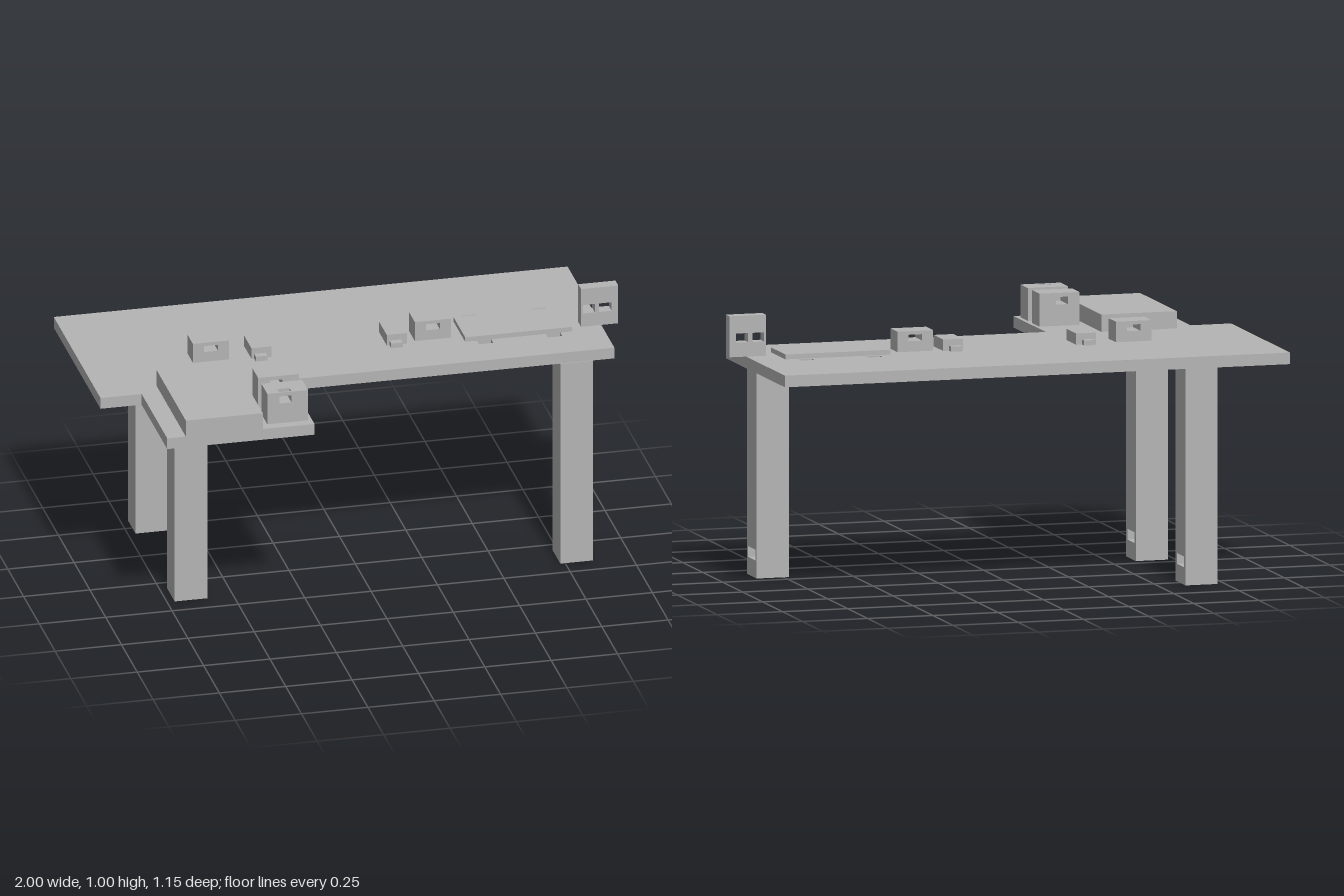
import * as THREE from 'three';

const grey = new THREE.MeshStandardMaterial({ color: 0xb4b4b4 });
grey.name = 'plainGrey';

const rect = (x0, x1, y0, y1) => [[x0, y0], [x1, y0], [x1, y1], [x0, y1]];
const points = (list) => list.map(([x, y]) => new THREE.Vector2(x, y));

function outline(list, holes = []) {
  const shape = new THREE.Shape(points(list));
  for (const h of holes) shape.holes.push(h.isPath ? h : new THREE.Path(points(h)));
  return shape;
}

function part(name, geometry) {
  const mesh = new THREE.Mesh(geometry, grey);
  mesh.name = name;
  return mesh;
}

function box(name, x0, x1, y0, y1, z0, z1) {
  const geometry = new THREE.BoxGeometry(x1 - x0, y1 - y0, z1 - z0);
  return part(name, geometry.translate((x0 + x1) / 2, (y0 + y1) / 2, (z0 + z1) / 2));
}

// Plan outline in (x, -z), raised from y0 to y1
function plan(name, shape, y0, y1) {
  const geometry = new THREE.ExtrudeGeometry(shape, { depth: y1 - y0, bevelEnabled: false, curveSegments: 12 });
  return part(name, geometry.rotateX(-Math.PI / 2).translate(0, y0, 0));
}

// Front outline in (x, y), running from z0 to z1
function front(name, shape, z0, z1) {
  const geometry = new THREE.ExtrudeGeometry(shape, { depth: z1 - z0, bevelEnabled: false });
  return part(name, geometry.translate(0, 0, z0));
}

const UNDER = 0.803, TOP = 0.846;

// Square leg with a screw hole below and a hexagonal nut slot open towards +x
function leg(name, x, z) {
  const group = new THREE.Group();
  group.name = name;
  const h = 0.0615, w = 0.045, slot = [0.065, 0.105];
  const hole = new THREE.Path().absarc(0, 0, 0.026, 0, Math.PI * 2, true);
  hole.isPath = true;
  const cut = [[-h, -h], [h, -h], [h, -w], [-w * 0.577, -w], [-w * 1.155, 0],
    [-w * 0.577, w], [h, w], [h, h], [-h, h]];
  group.add(
    plan('legFoot', outline(rect(-h, h, -h, h), [hole]), 0, slot[0]),
    plan('legNutSlot', outline(cut), slot[0], slot[1]),
    box('legShaft', -h, h, slot[1], UNDER, -h, h),
  );
  group.position.set(x, 0, z);
  return group;
}

export function createModel() {
  const model = new THREE.Group();
  model.name = 'table';

  // Tabletop with a forward extension and four through slots
  const slots = [];
  for (const x of [0.487, 0.747]) {
    for (const z of [-0.221, 0.007]) slots.push(rect(x - 0.027, x + 0.027, -z - 0.016, -z + 0.016));
  }
  const top = [[-1, -0.168], [-0.845, -0.168], [-0.845, -0.573], [-0.29, -0.573],
    [-0.29, -0.168], [0.936, -0.168], [0.936, 0.573], [-1, 0.573]];
  model.add(plan('tabletop', outline(top, slots), UNDER, TOP));

  // Three legs
  model.add(leg('backRightLeg', -0.66, -0.51), leg('frontRightLeg', -0.66, 0.11), leg('frontLeftLeg', 0.793, 0.11));

  // Large low block on the extension
  model.add(box('lowBlock', -0.775, -0.485, TOP, 0.91, 0.11, 0.573));

  // Tall blocks with a window; the front one has a slot from the top into its window
  const [bx0, bx1, wx0, wx1] = [-0.459, -0.305, -0.414, -0.368];
  model.add(front('rearTallBlock',
    outline(rect(bx0, bx1, TOP, 0.968), [rect(wx0, wx1, 0.925, 0.953)]), 0.297, 0.39));
  const cup = [[bx0, TOP], [bx1, TOP], [bx1, 0.953], [wx1, 0.953], [wx1, 0.925],
    [wx0, 0.925], [wx0, 0.953], [bx0, 0.953]];
  model.add(front('frontTallBlock', outline(cup), 0.443, 0.536));
  model.add(plan('frontTallBlockTop',
    outline(rect(bx0, bx1, -0.536, -0.443), [rect(wx0, wx1, -0.53, -0.502)]), 0.953, 0.968));

  // Small blocks with a window
  for (const x of [-0.53, 0.306]) {
    model.add(front('windowBlock',
      outline(rect(x - 0.068, x + 0.068, TOP, 0.922), [rect(x - 0.026, x + 0.026, 0.885, 0.909)]), -0.147, -0.058));
  }

  // Small brackets with a tab at each end
  for (const x of [-0.343, 0.167]) {
    model.add(box('bracket', x - 0.038, x + 0.038, TOP, 0.888, -0.164, -0.044));
    for (const s of [-1, 1]) {
      const z = -0.104 + s * 0.072;
      model.add(box('bracketTab', x - 0.028, x + 0.016, TOP, 0.865, z - 0.016, z + 0.016));
    }
  }

  // Thin plate between the slots
  model.add(box('thinPlate', 0.416, 0.818, TOP, 0.864, -0.193, -0.009));

  // Upright plate with two windows, overhanging the left edge
  model.add(front('uprightPlate', outline(rect(0.86, 1, TOP, 0.998),
    [rect(0.867, 0.912, 0.899, 0.933), rect(0.928, 0.975, 0.899, 0.933)]), -0.085, -0.04));

  return model;
}
